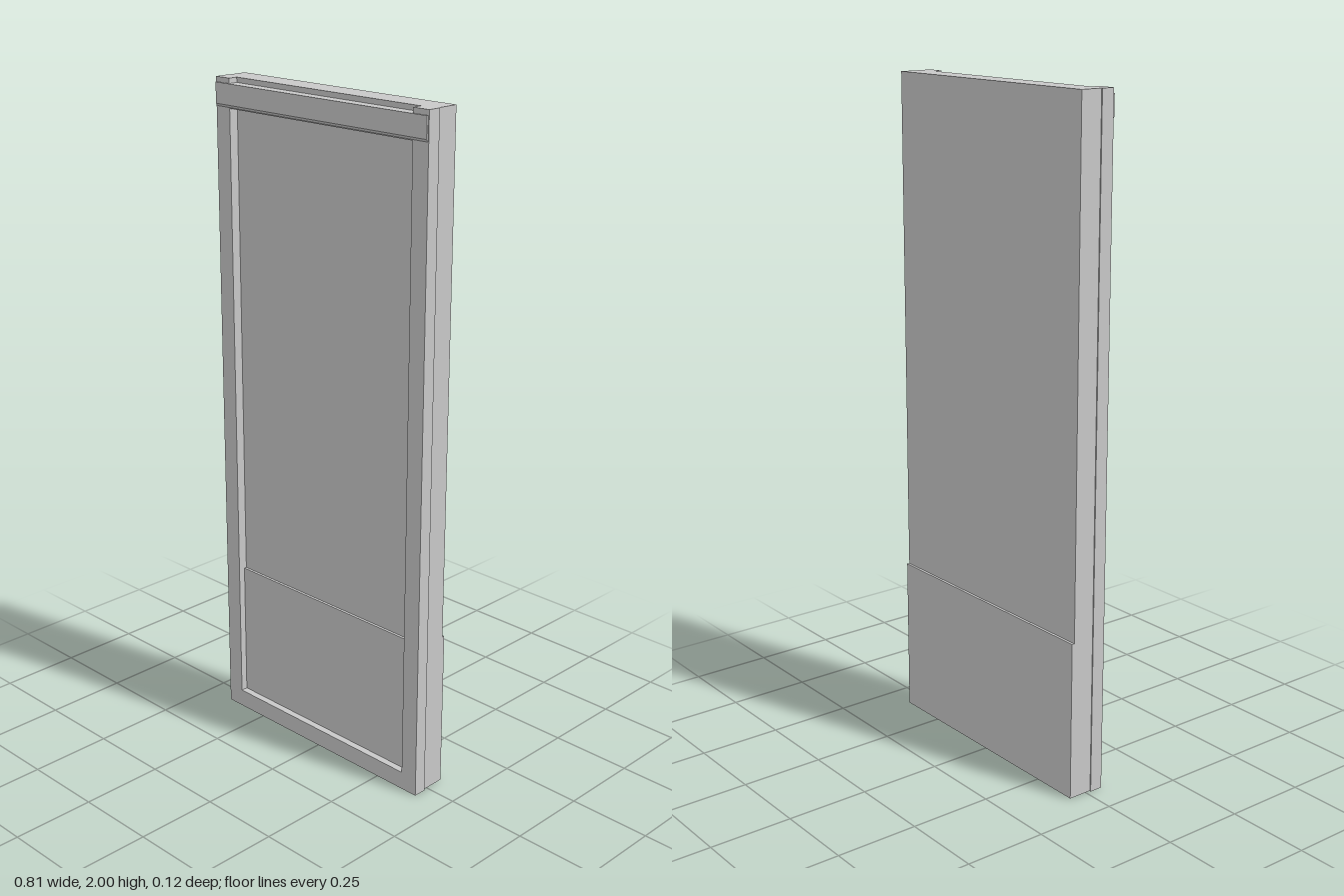
import * as THREE from 'three';

export function createModel() {
  const group = new THREE.Group();
  const grey = new THREE.MeshStandardMaterial({ color: 0xc8c8c8 });

  const add = (name, geometry) => {
    const mesh = new THREE.Mesh(geometry, grey);
    mesh.name = name;
    group.add(mesh);
    return mesh;
  };
  // Box given by its limits in y and z, centred on x
  const slab = (name, width, y0, y1, z0, z1) =>
    add(name, new THREE.BoxGeometry(width, y1 - y0, z1 - z0))
      .position.set(0, (y0 + y1) / 2, (z0 + z1) / 2);

  const outer = 0.403, inner = 0.348, notchY = 1.985;

  // Door leaf: tall upper panel and a slightly thicker kick panel
  slab('upperPanel', 0.8, 0.48, 2, -0.052, 0.026);
  slab('kickPanel', 0.8, 0.002, 0.48, -0.06, 0.034);

  // Front frame with a shallow notch in its top edge
  const frame = new THREE.Shape([
    [-outer, 0], [outer, 0], [outer, 2], [inner, 2],
    [inner, notchY], [-inner, notchY], [-inner, 2], [-outer, 2],
  ].map(([x, y]) => new THREE.Vector2(x, y)));
  frame.holes.push(new THREE.Path([
    [-inner, 0.055], [-inner, 1.915], [inner, 1.915], [inner, 0.055],
  ].map(([x, y]) => new THREE.Vector2(x, y))));
  add('frontFrame', new THREE.ExtrudeGeometry(frame, { depth: 0.04, bevelEnabled: false }))
    .position.z = 0.015;

  // Slightly proud lip along the top rail, tapered at its lower edge
  const lip = new THREE.Shape([
    [-0.053, 1.915], [-0.053, notchY], [-0.06, notchY], [-0.06, 1.925],
  ].map(([z, y]) => new THREE.Vector2(z, y)));
  const lipMesh = add('topLip', new THREE.ExtrudeGeometry(lip, { depth: 0.8, bevelEnabled: false }));
  lipMesh.rotation.y = Math.PI / 2;
  lipMesh.position.x = -0.4;

  return group;
}
